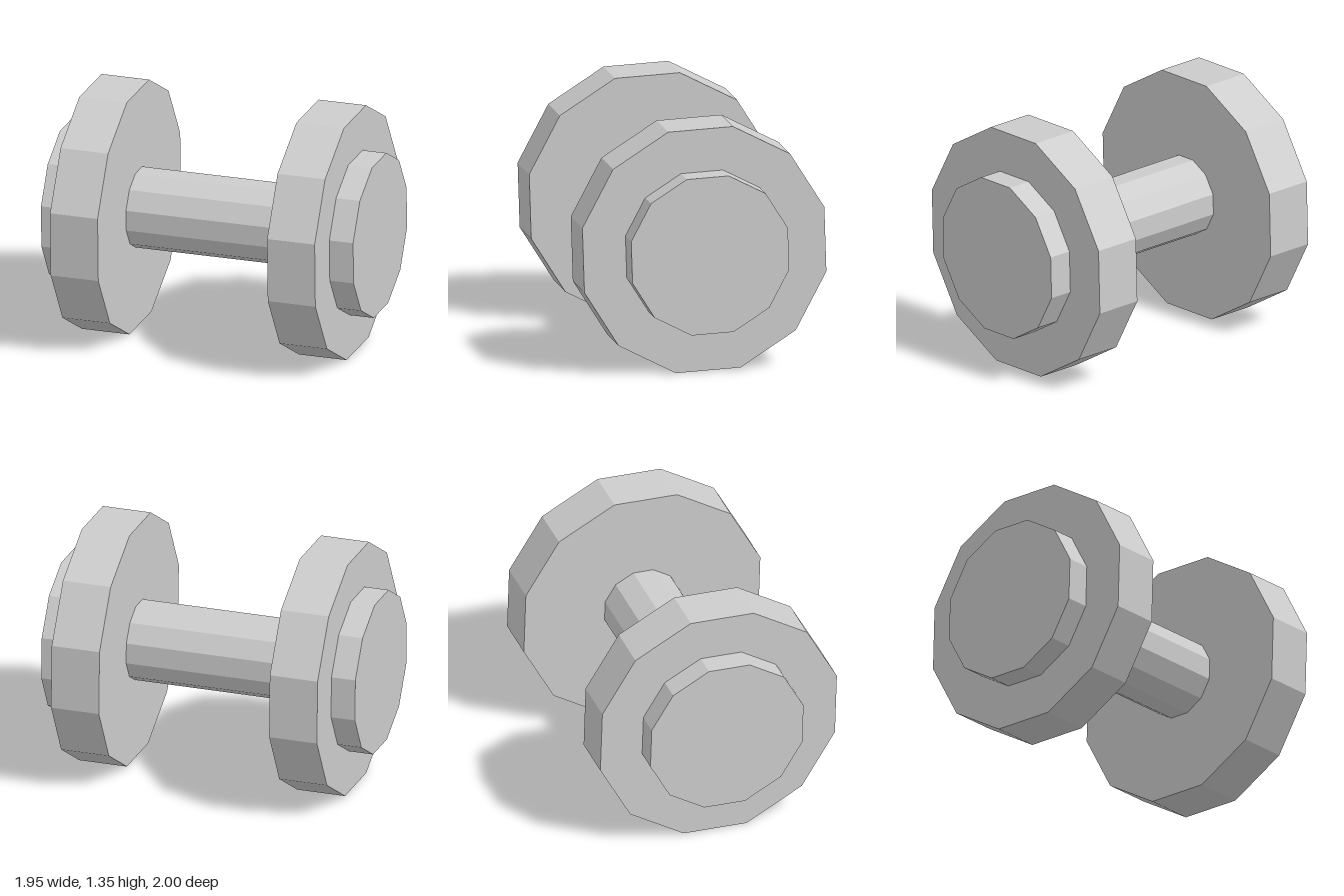
import * as THREE from 'three';

const SIDES = 12;
const CENTER_Y = 0.677;
const ROLL = THREE.MathUtils.degToRad(16.8); // nearly resting on one flat
const YAW = THREE.MathUtils.degToRad(31.7);

export function createModel() {
  const steel = new THREE.MeshStandardMaterial({ color: 0xcccccc, flatShading: true });
  steel.name = 'steelGrey';

  const model = new THREE.Group();
  model.name = 'dumbbell';

  // Twelve-sided drum along z, from z0 to z1
  function drum(name, radius, z0, z1) {
    const geometry = new THREE.CylinderGeometry(radius, radius, z1 - z0, SIDES);
    geometry.rotateX(Math.PI / 2).rotateZ(ROLL).translate(0, 0, (z0 + z1) / 2);
    const mesh = new THREE.Mesh(geometry, steel);
    mesh.name = name;
    return mesh;
  }

  const body = new THREE.Group();
  body.name = 'body';
  body.add(drum('handle', 0.221, -0.485, 0.485));

  // Large plate and smaller outer cap at each end
  for (const [end, s] of [['front', 1], ['back', -1]]) {
    const span = (a, b) => (s > 0 ? [a, b] : [-b, -a]);
    body.add(drum(end + 'Plate', 0.695, ...span(0.485, 0.757)));
    body.add(drum(end + 'Cap', 0.45, ...span(0.757, 0.893)));
  }

  body.position.y = CENTER_Y;
  body.rotation.y = YAW;
  model.add(body);
  return model;
}
